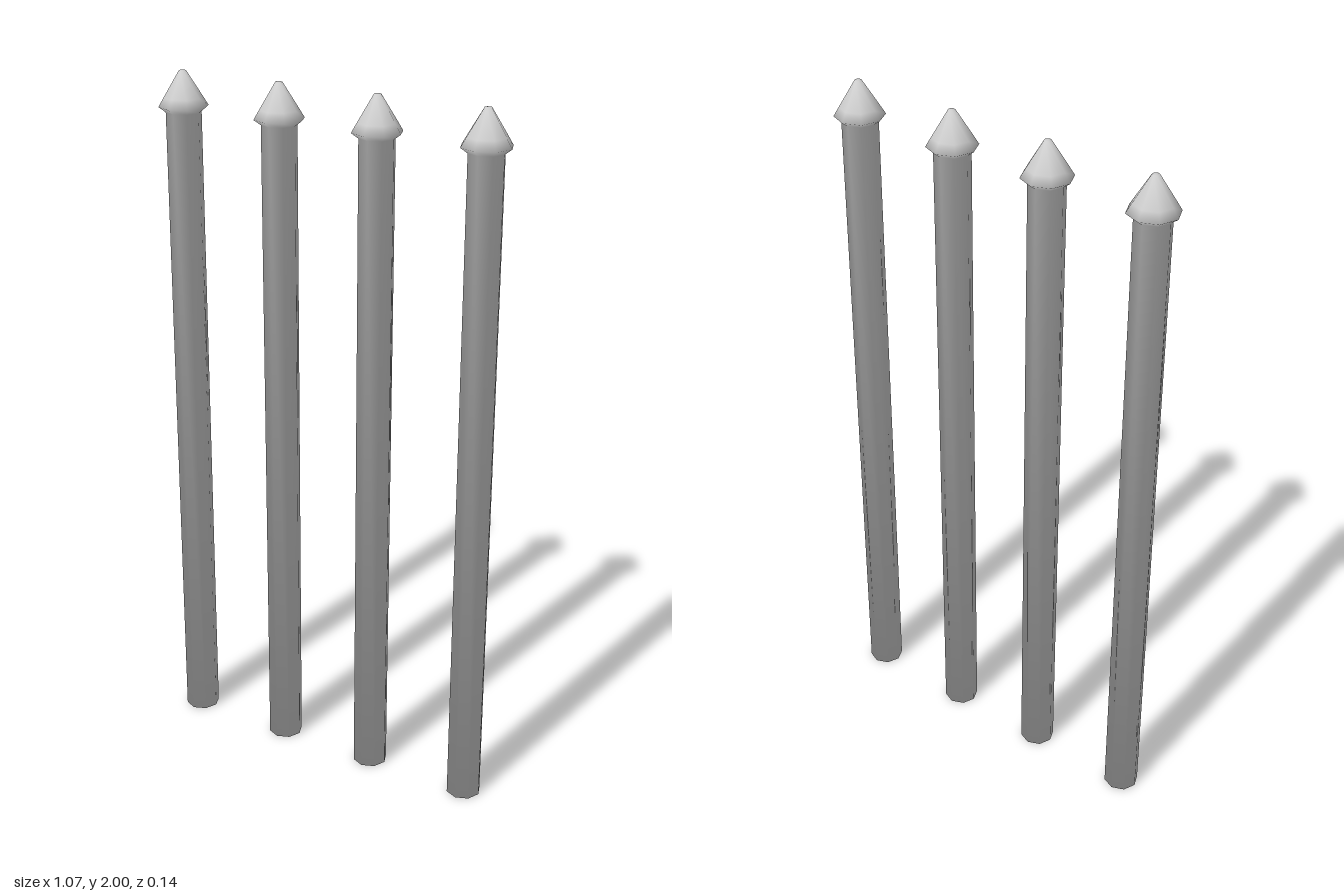
import * as THREE from 'three';

const SIDES = 8;

// Post outline from the base centre up to the blunt tip: [radius, height]
const PROFILE = [
  [0, 0], [0.05, 0], [0.05, 1.885], [0.07, 1.9], [0.055, 1.925], [0.01, 1.998], [0, 2],
].map(([r, y]) => new THREE.Vector2(r, y));

// Evenly averaged normals, so the shading rolls softly over every ring
function softenNormals(geometry) {
  const slopes = PROFILE.slice(1).map((p, i) => {
    const d = p.clone().sub(PROFILE[i]).normalize();
    return new THREE.Vector2(d.y, -d.x);
  });
  const normal = geometry.attributes.normal;
  for (let k = 0; k < normal.count; k++) {
    const ring = k % PROFILE.length;
    const angle = Math.floor(k / PROFILE.length) / SIDES * Math.PI * 2;
    const n = new THREE.Vector2();
    if (ring === 0) n.set(0, -1);
    else if (ring === PROFILE.length - 1) n.set(0, 1);
    else n.addVectors(slopes[ring - 1], slopes[ring]).normalize();
    normal.setXYZ(k, n.x * Math.sin(angle), n.y, n.x * Math.cos(angle));
  }
  return geometry;
}

export function createModel() {
  const model = new THREE.Group();
  model.name = 'spikedPosts';
  const material = new THREE.MeshStandardMaterial({ color: 0xcccccc });
  const geometry = softenNormals(new THREE.LatheGeometry(PROFILE, SIDES));

  // Row of four pointed posts
  [-0.468, -0.153, 0.149, 0.465].forEach((x, i) => {
    const post = new THREE.Mesh(geometry, material);
    post.name = `post${i + 1}`;
    post.position.x = x;
    model.add(post);
  });
  return model;
}
